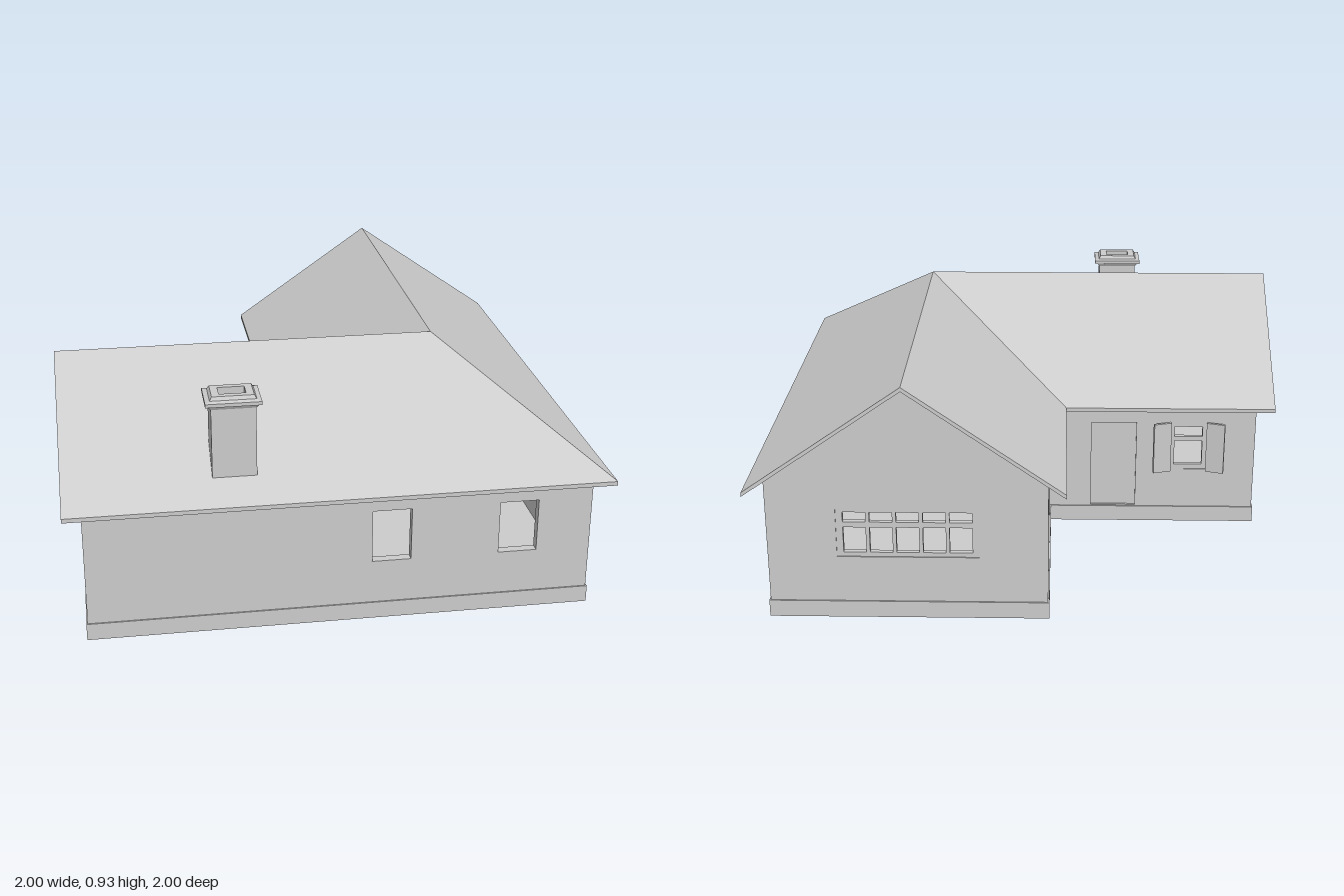
import * as THREE from 'three';

const material = new THREE.MeshStandardMaterial({ color: 0xcccccc, flatShading: true, side: THREE.DoubleSide });
const W = 0.933;      // outer wall face
const N = -0.09;      // inner corner of the L
const T = 0.035;      // wall thickness
const RIDGE = 0.4225; // ridge line, in x and in z
const EAVE = 0.553, APEX = 0.914;

function add(group, name, geometry, x = 0, y = 0, z = 0) {
  const mesh = new THREE.Mesh(geometry, material);
  mesh.name = name;
  mesh.position.set(x, y, z);
  group.add(mesh);
  return mesh;
}

const box = (group, name, x0, x1, y0, y1, z0, z1) =>
  add(group, name, new THREE.BoxGeometry(x1 - x0, y1 - y0, z1 - z0), (x0 + x1) / 2, (y0 + y1) / 2, (z0 + z1) / 2);

const polygon = (pts, Type = THREE.Shape) => new Type(pts.map(p => new THREE.Vector2(...p)));
const rect = (a, b, y0, y1) => [[a, y0], [b, y0], [b, y1], [a, y1]];

// Flat outline with holes, given thickness
function slab(outline, holes, depth) {
  const shape = polygon(outline);
  shape.holes = holes.map(h => polygon(h, THREE.Path));
  return new THREE.ExtrudeGeometry(shape, { depth, bevelEnabled: false });
}

// L-shaped plan, grown outwards by d
const plan = d => [[-W - d, -W - d], [W + d, -W - d], [W + d, W + d], [N - d, W + d], [N - d, -N + d], [-W - d, -N + d]];

// Wall outlines: u runs along the wall
const plain = (a, b) => rect(a, b, 0.04, EAVE);
const gable = [[N, 0.04], [W, 0.04], [W, EAVE], [RIDGE, APEX], [N, EAVE]];

// Grid of panes in a rectangular frame
function windowFrame(a, b, y0, y1, cols, rows, edge, bar) {
  const pitch = (b - a - 2 * edge + bar) / cols;
  const holes = [];
  for (let i = 0; i < cols; i++) {
    const u = a + edge + i * pitch;
    for (const [low, high] of rows) holes.push(rect(u, u + pitch - bar, low, high));
  }
  return slab(rect(a, b, y0, y1), holes, 0.02);
}

// Thin L-shaped roof with four slopes
function roofGeometry() {
  const low = 0.528, high = 0.93, e = -0.155, t = 0.016;
  const A = [-1, low, 1], B = [1, low, 1], C = [1, low, -1], S = [RIDGE, high, -1];
  const D = [e, low, -1], E = [e, low, e], F = [-1, low, e], P = [-1, high, RIDGE], Q = [RIDGE, high, RIDGE];
  const pos = [];
  const quad = (a, b, c, d) => pos.push(...a, ...b, ...c, ...a, ...c, ...d);
  const under = ([x, y, z]) => [x, y - t, z];
  for (const q of [[A, B, Q, P], [B, C, S, Q], [S, D, E, Q], [Q, E, F, P]]) {
    quad(...q);
    quad(...q.map(under).reverse());
  }
  const rim = [A, B, C, S, D, E, F, P];
  rim.forEach((p, i) => {
    const n = rim[(i + 1) % rim.length];
    quad(under(p), under(n), n, p);
  });
  const geometry = new THREE.BufferGeometry();
  geometry.setAttribute('position', new THREE.Float32BufferAttribute(pos, 3));
  geometry.computeVertexNormals();
  return geometry;
}

// Stack of rectangular sections [half width, half depth, y], closed at the last one
function rectLoft(sections) {
  const pos = [];
  const ring = ([w, d, y]) => [[-w, y, d], [w, y, d], [w, y, -d], [-w, y, -d]];
  const quad = (a, b, c, d) => pos.push(...a, ...b, ...c, ...a, ...c, ...d);
  for (let i = 0; i < sections.length - 1; i++) {
    const lo = ring(sections[i]), hi = ring(sections[i + 1]);
    for (let k = 0; k < 4; k++) quad(lo[k], lo[(k + 1) % 4], hi[(k + 1) % 4], hi[k]);
  }
  quad(...ring(sections[sections.length - 1]));
  const geometry = new THREE.BufferGeometry();
  geometry.setAttribute('position', new THREE.Float32BufferAttribute(pos, 3));
  geometry.computeVertexNormals();
  return geometry;
}

export function createModel() {
  const house = new THREE.Group();
  house.name = 'house';

  // Plinth ring and raised floor
  add(house, 'plinth', slab(plan(0.005), [plan(-T)], 0.065)).rotation.x = -Math.PI / 2;
  add(house, 'floor', slab(plan(-0.01), [], 0.01), 0, 0.06, 0).rotation.x = -Math.PI / 2;

  // Walls running along x
  const y0 = 0.235, y1 = 0.44;
  const wallX = (name, z, outline, holes) => add(house, name, slab(outline, holes, T), 0, 0, z);
  wallX('frontWall', W - T, plain(-W + T, W), [rect(0.11, 0.255, y0, y1), rect(0.585, 0.73, y0, y1)]);
  wallX('backGableWall', -W, gable, [rect(0.16, 0.68, 0.245, y1)]);
  wallX('porchWall', N, plain(-W + T, N + T), [rect(-0.445, -0.26, 0.07, 0.44), rect(-0.735, -0.585, y0, y1)]);

  // Walls running along z
  const wallZ = (name, x, outline, holes) => {
    add(house, name, slab(outline, holes, T), x, 0, 0).rotation.y = -Math.PI / 2;
  };
  const sideWindows = [rect(0.115, 0.26, y0, y1), rect(0.59, 0.73, y0, y1)];
  wallZ('leftWall', W, plain(-W + T, W - T), sideWindows);
  wallZ('rightGableWall', -W + T, gable, sideWindows);
  wallZ('courtWall', N + T, plain(-W + T, N), [rect(-0.69, -0.545, y0, y1)]);
  box(house, 'partitionWall', N + T, 0.5, 0.07, EAVE, N, N + T);

  // Wide gable window, door and shuttered window
  add(house, 'wideWindow', windowFrame(0.16, 0.68, 0.245, y1, 5, [[0.262, 0.362], [0.383, 0.422]], 0.025, 0.014), 0, 0, -W + 0.004);
  box(house, 'door', -0.445, -0.26, 0.07, 0.44, N + 0.01, N + 0.025);
  add(house, 'shutteredWindow', windowFrame(-0.735, -0.585, y0, y1, 1, [[0.255, 0.36], [0.378, 0.422]], 0.018, 0.012), 0, 0, N + 0.004);
  for (const side of [-1, 1]) {
    const hinge = new THREE.Group();
    hinge.name = 'shutter';
    hinge.position.set(-0.66 + side * 0.075, 0, N - 0.004);
    hinge.rotation.y = side * 0.3;
    box(hinge, 'shutterPanel', side > 0 ? 0 : -0.075, side > 0 ? 0.075 : 0, y0 - 0.005, y1 + 0.005, -0.012, 0);
    house.add(hinge);
  }

  add(house, 'roof', roofGeometry());

  // Fireplace inside, chimney above
  box(house, 'hearth', -0.58, -0.19, 0.06, 0.25, 0.65, 0.885);
  box(house, 'fireplace', -0.55, -0.22, 0.25, 0.40, 0.705, 0.885);
  add(house, 'chimney', rectLoft([
    [0.08, 0.063, 0.4], [0.08, 0.063, 0.86], [0.09, 0.07, 0.872], [0.1, 0.077, 0.874], [0.1, 0.077, 0.887],
    [0.083, 0.06, 0.892], [0.075, 0.053, 0.905], [0.048, 0.03, 0.905], [0.048, 0.03, 0.87],
  ]), -0.385, 0, 0.835);

  return house;
}
